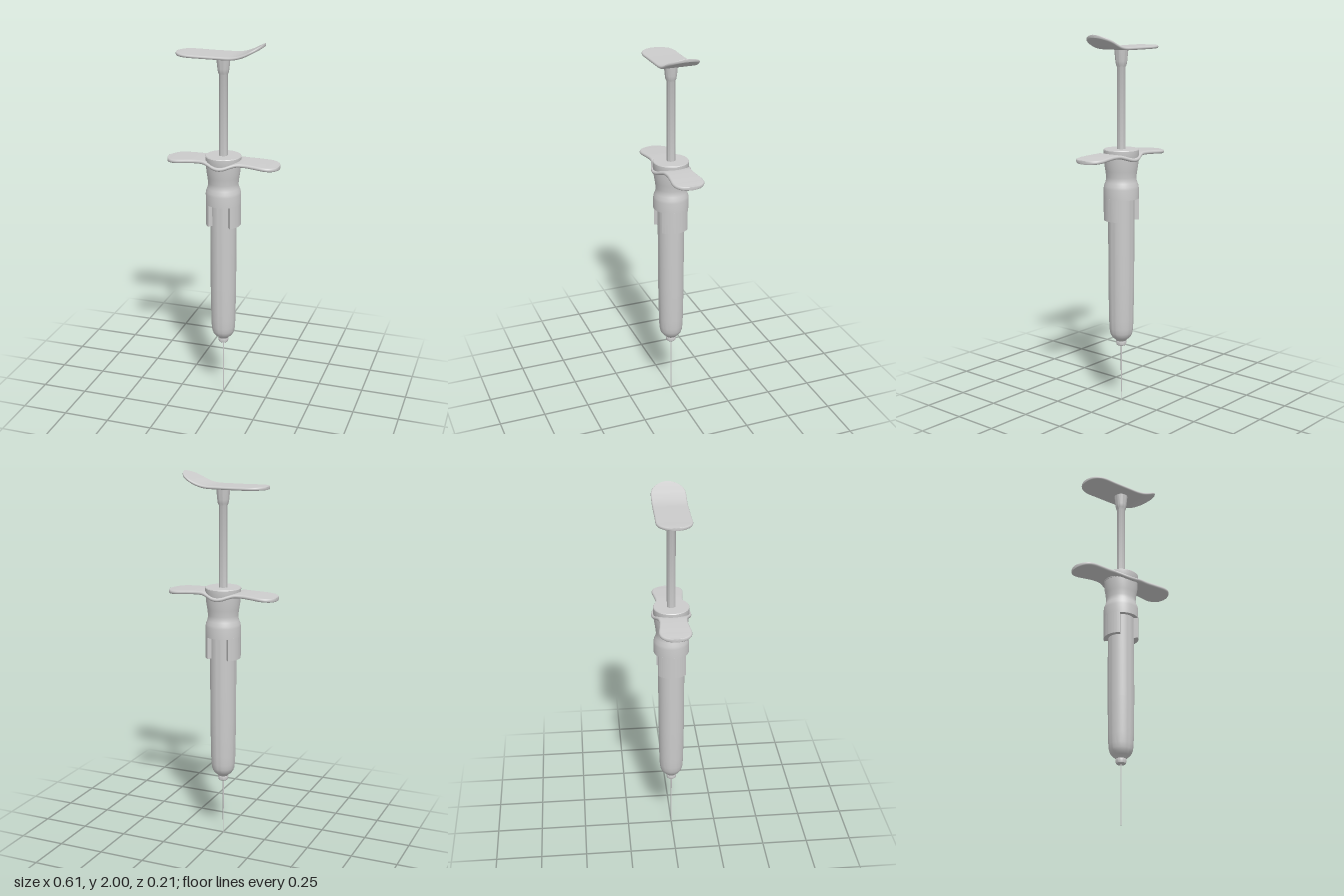
import * as THREE from 'three';
import { toCreasedNormals } from 'three/addons/utils/BufferGeometryUtils.js';

const grey = new THREE.MeshStandardMaterial({ color: 0xcccccc });

function part(name, geometry) {
  const mesh = new THREE.Mesh(geometry, grey);
  mesh.name = name;
  return mesh;
}

// Turned part from [radius, height] pairs listed from bottom to top
function turned(name, profile) {
  const points = profile.map(([r, y]) => new THREE.Vector2(r, y));
  return part(name, toCreasedNormals(new THREE.LatheGeometry(points, 48), 0.6));
}

// Thin round-edged plate; each station is [x, centre height, half width]
function plate(name, stations, halfThickness) {
  const path = new THREE.CatmullRomCurve3(
    stations.map(([x, y, w]) => new THREE.Vector3(x, y, w)), false, 'centripetal');
  const sections = path.getPoints(stations.length * 6);
  const ringSize = 20, half = ringSize / 2;
  const positions = [], index = [];
  for (const { x, y, z } of sections) {
    const width = Math.max(z, 0);
    const t = Math.min(halfThickness, width * 0.6);
    for (let j = 0; j < ringSize; j++) {
      const side = j < half ? 1 : -1;
      const a = -Math.PI / 2 + Math.PI * (j % half) / (half - 1);
      positions.push(x, y + side * t * Math.sin(a), side * (width - t + t * Math.cos(a)));
    }
  }
  for (let i = 0; i < sections.length - 1; i++) {
    for (let j = 0; j < ringSize; j++) {
      const k = (j + 1) % ringSize;
      const a = i * ringSize + j, b = a + ringSize;
      const c = (i + 1) * ringSize + k, d = i * ringSize + k;
      index.push(a, b, c, a, c, d);
    }
  }
  const geometry = new THREE.BufferGeometry();
  geometry.setAttribute('position', new THREE.Float32BufferAttribute(positions, 3));
  geometry.setIndex(index);
  geometry.computeVertexNormals();
  return part(name, geometry);
}

export function createModel() {
  const model = new THREE.Group();
  model.name = 'syringe';

  // Needle and the hub that holds it
  const needle = new THREE.CylinderGeometry(0.0035, 0.0025, 0.34, 12);
  needle.translate(0, 0.17, 0);
  model.add(part('needle', needle));
  model.add(turned('needleHub', [
    [0, 0.318], [0.022, 0.318], [0.026, 0.322], [0.029, 0.34], [0.027, 0.346], [0, 0.346],
  ]));

  // Barrel with a rounded lower end
  model.add(turned('barrel', [
    [0, 0.34], [0.024, 0.34], [0.03, 0.35], [0.045, 0.362], [0.056, 0.376],
    [0.062, 0.393], [0.065, 0.42], [0.067, 0.47], [0.07, 0.67], [0.071, 1.16],
  ]));

  // Waisted collar
  model.add(turned('collar', [
    [0.068, 1.14], [0.094, 1.14], [0.094, 1.195], [0.092, 1.21], [0.085, 1.228],
    [0.081, 1.243], [0.081, 1.258], [0.085, 1.29], [0.09, 1.32], [0.092, 1.365], [0, 1.365],
  ]));

  // Two curved legs hanging from the collar
  const spread = 0.89;
  const arc = new THREE.Shape();
  arc.absarc(0, 0, 0.094, -spread, spread, false);
  arc.absarc(0, 0, 0.069, spread, -spread, true);
  arc.closePath();
  for (const [name, turn] of [['leftCollarLeg', 0], ['rightCollarLeg', Math.PI]]) {
    const leg = new THREE.ExtrudeGeometry(arc, { depth: 0.121, bevelEnabled: false, curveSegments: 20 });
    leg.rotateX(-Math.PI / 2).rotateY(turn).translate(0, 1.022, 0);
    model.add(part(name, toCreasedNormals(leg, 0.6)));
  }

  // Finger flange, mirrored about its middle
  const wing = [
    [0.03, 1.357, 0.1], [0.06, 1.367, 0.088], [0.09, 1.375, 0.077], [0.13, 1.376, 0.073],
    [0.18, 1.374, 0.078], [0.24, 1.37, 0.084], [0.27, 1.368, 0.076], [0.292, 1.366, 0.055],
    [0.304, 1.366, 0.027], [0.307, 1.366, 0],
  ];
  const mirrored = wing.map(([x, y, w]) => [-x, y, w]).reverse();
  model.add(plate('fingerFlange', [...mirrored, [0, 1.353, 0.105], ...wing], 0.01));

  // Cap disc on top of the collar
  model.add(turned('capDisc', [
    [0, 1.36], [0.094, 1.36], [0.095, 1.364], [0.095, 1.401], [0.092, 1.405], [0, 1.405],
  ]));

  // Plunger rod flaring out under the thumb rest
  model.add(turned('plungerRod', [
    [0.023, 1.39], [0.023, 1.835], [0.028, 1.845], [0.031, 1.865], [0.036, 1.915],
    [0.038, 1.932], [0, 1.932],
  ]));

  // Thumb rest, flat on one side and curling up on the other
  model.add(plate('thumbRest', [
    [-0.25, 1.934, 0], [-0.247, 1.934, 0.027], [-0.235, 1.934, 0.055], [-0.21, 1.934, 0.079],
    [-0.175, 1.933, 0.09], [-0.1, 1.932, 0.09], [0, 1.932, 0.09], [0.06, 1.933, 0.09],
    [0.1, 1.94, 0.09], [0.14, 1.955, 0.09], [0.165, 1.968, 0.087], [0.19, 1.981, 0.073],
    [0.208, 1.991, 0.047], [0.216, 1.996, 0.023], [0.219, 1.998, 0],
  ], 0.008));

  return model;
}
